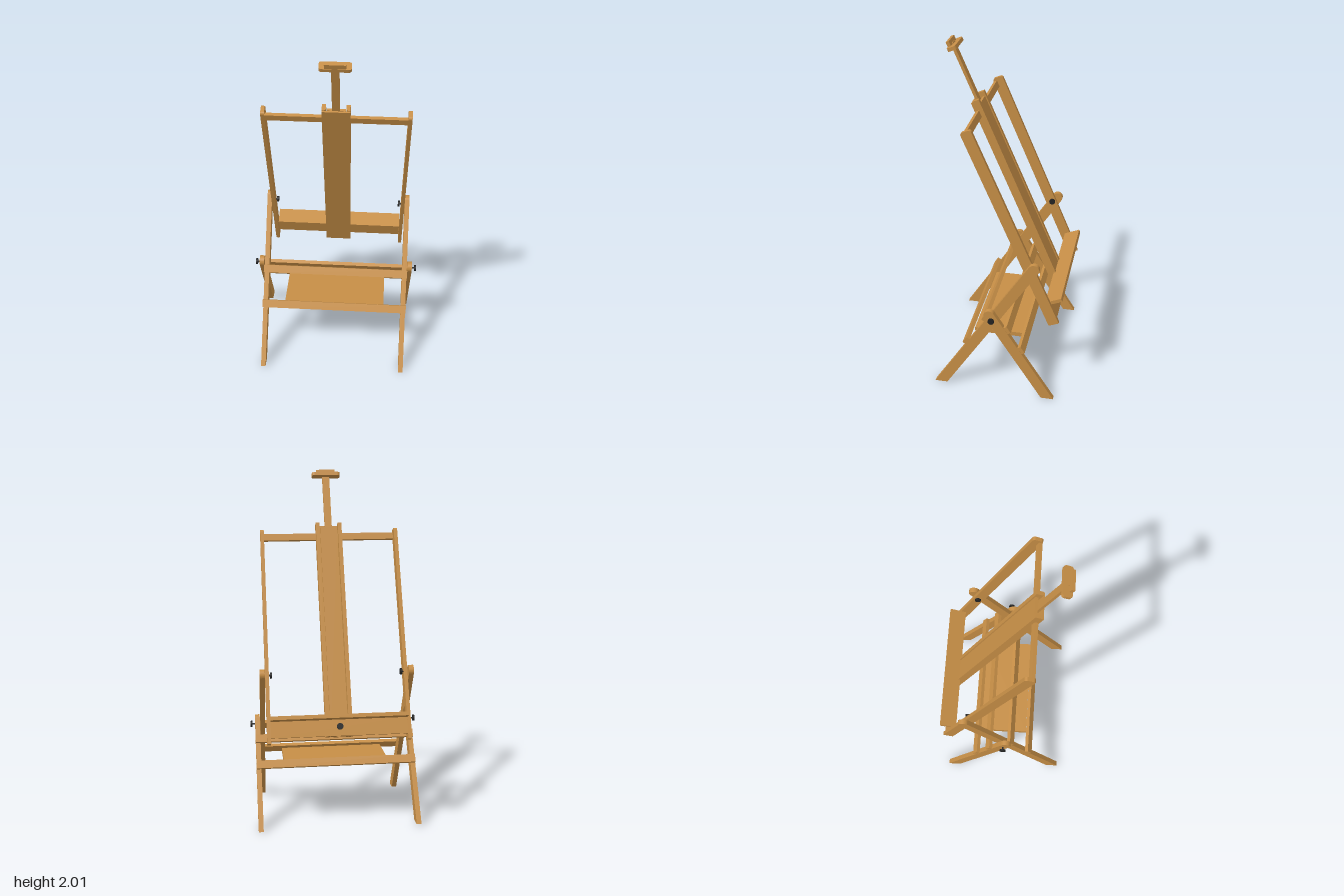
import * as THREE from 'three';

const wood = new THREE.MeshStandardMaterial({ color: 0xc68e46 });
const black = new THREE.MeshStandardMaterial({ color: 0x222222 });

function add(parent, name, geometry, x, y, z, material = wood) {
  const mesh = new THREE.Mesh(geometry, material);
  mesh.name = name;
  mesh.position.set(x, y, z);
  parent.add(mesh);
  return mesh;
}

// Box given by its ranges along x, y and z
function board(parent, name, x0, x1, y0, y1, z0, z1) {
  return add(parent, name, new THREE.BoxGeometry(x1 - x0, y1 - y0, z1 - z0),
    (x0 + x1) / 2, (y0 + y1) / 2, (z0 + z1) / 2);
}

// A group whose y axis leans by the given angle (positive leans to the front)
function leaning(parent, name, y, z, angle) {
  const group = new THREE.Group();
  group.name = name;
  group.position.set(0, y, z);
  group.rotation.x = angle;
  parent.add(group);
  return group;
}

// Side profile (z, y) extruded along x and centred on it
function sideProfile(shape, thickness) {
  const g = new THREE.ExtrudeGeometry(shape, { depth: thickness, bevelEnabled: false, curveSegments: 10 });
  g.translate(0, 0, -thickness / 2);
  return g.rotateY(-Math.PI / 2);
}

// Leg with a foot cut level with the ground and a round top
function legGeometry(angle, length) {
  const w = 0.031, cut = w * Math.tan(angle);
  const s = new THREE.Shape();
  s.moveTo(-w, -cut);
  s.lineTo(w, cut);
  s.lineTo(w, length);
  s.absarc(0, length, w, 0, Math.PI, false);
  s.closePath();
  return sideProfile(s, 0.028);
}

// Round knob on a thin shaft; the disc points along +y before turning
function knob(parent, name, x, y, z, shaft) {
  const group = new THREE.Group();
  group.name = name;
  group.position.set(x, y, z);
  add(group, 'shaft', new THREE.CylinderGeometry(0.005, 0.005, shaft, 10), 0, shaft / 2, 0, black);
  add(group, 'disc', new THREE.CylinderGeometry(0.018, 0.018, 0.011, 20), 0, shaft, 0, black);
  parent.add(group);
  return group;
}

export function createModel() {
  const model = new THREE.Group();
  model.name = 'easel';
  const body = new THREE.Group();
  body.name = 'body';
  // The whole easel stands very slightly askew
  body.position.set(-0.01, 0.005, 0);
  body.rotation.set(0, 0.007, -0.01);
  model.add(body);

  // Two crossing leg frames, each with a pair of rails
  const frames = [
    { name: 'longLegs', z: 0.34, angle: -0.569, length: 1.033, x: 0.42, barZ: 0.042, bars: [0.368, 0.582], half: 0.437 },
    { name: 'shortLegs', z: -0.31, angle: 0.556, length: 0.648, x: 0.449, barZ: -0.042, bars: [0.363, 0.518], half: 0.462 },
  ];
  for (const f of frames) {
    const frame = leaning(body, f.name, 0, f.z, f.angle);
    for (const side of [-1, 1]) add(frame, 'leg', legGeometry(f.angle, f.length), side * f.x, 0, 0);
    for (const t of f.bars)
      board(frame, 'crossbar', -f.half, f.half, t - 0.023, t + 0.023, f.barZ - 0.011, f.barZ + 0.011);
  }

  // Shelf between the lower crossbars
  board(body, 'shelf', -0.302, 0.302, 0.306, 0.333, -0.14, 0.155);

  // Pivot knobs outside the legs and clamp knobs inside the rails
  for (const side of [-1, 1]) {
    knob(body, 'pivotKnob', side * 0.44, 0.53, 0.016, 0.045).rotation.z = -side * Math.PI / 2;
    knob(body, 'clampKnob', side * 0.42, 0.86, -0.19, 0.05).rotation.z = side * Math.PI / 2;
  }

  // Tilted panel: y runs along the rails, -z is the side holding the canvas
  const panel = leaning(body, 'panel', 0.5, -0.33, 0.399);
  const rail = new THREE.Shape();
  const w = 0.031, r = 0.015, top = 1.25;
  rail.moveTo(-w, 0);
  rail.lineTo(w, 0);
  rail.lineTo(w, top - r);
  rail.absarc(w - r, top - r, r, 0, Math.PI / 2, false);
  rail.absarc(-w + r, top - r, r, Math.PI / 2, Math.PI, false);
  rail.closePath();
  for (const side of [-1, 1]) {
    add(panel, 'sideRail', sideProfile(rail, 0.021), side * 0.393, 0, 0);
    const x = side * 0.065;
    board(panel, 'guideStrip', x - 0.011, x + 0.011, 0.03, 1.292, -0.013, 0.026);
  }
  board(panel, 'topRail', -0.384, 0.384, 1.194, 1.234, 0.01, 0.03);
  board(panel, 'frontPlank', -0.076, 0.076, 0.03, 1.285, 0.026, 0.036);
  board(panel, 'middlePlank', -0.05, 0.05, 0.03, 1.265, -0.008, 0.008);

  // Canvas ledge with its board and knob
  board(panel, 'ledge', -0.383, 0.383, 0.121, 0.142, -0.098, 0);
  board(panel, 'ledgeBoard', -0.383, 0.383, 0.03, 0.122, -0.03, -0.013);
  knob(panel, 'ledgeKnob', 0, 0.08, -0.025, 0.027).rotation.x = -Math.PI / 2;

  // Sliding mast with a rounded canvas holder
  board(panel, 'mast', -0.021, 0.021, 0.9, 1.62, 0.009, 0.0255);
  const a = 0.083, c = 0.016, z0 = -0.018, z1 = 0.035;
  const plate = new THREE.Shape();
  plate.moveTo(-a + c, z0);
  plate.lineTo(a - c, z0);
  plate.quadraticCurveTo(a, z0, a, z0 + c);
  plate.lineTo(a, z1 - c);
  plate.quadraticCurveTo(a, z1, a - c, z1);
  plate.lineTo(-a + c, z1);
  plate.quadraticCurveTo(-a, z1, -a, z1 - c);
  plate.lineTo(-a, z0 + c);
  plate.quadraticCurveTo(-a, z0, -a + c, z0);
  const plateGeo = new THREE.ExtrudeGeometry(plate, { depth: 0.02, bevelEnabled: false, curveSegments: 6 });
  plateGeo.rotateX(Math.PI / 2);
  add(panel, 'canvasHolder', plateGeo, 0, 1.612, 0);
  board(panel, 'mastCap', -0.055, 0.055, 1.61, 1.64, 0.014, 0.033);

  return model;
}
